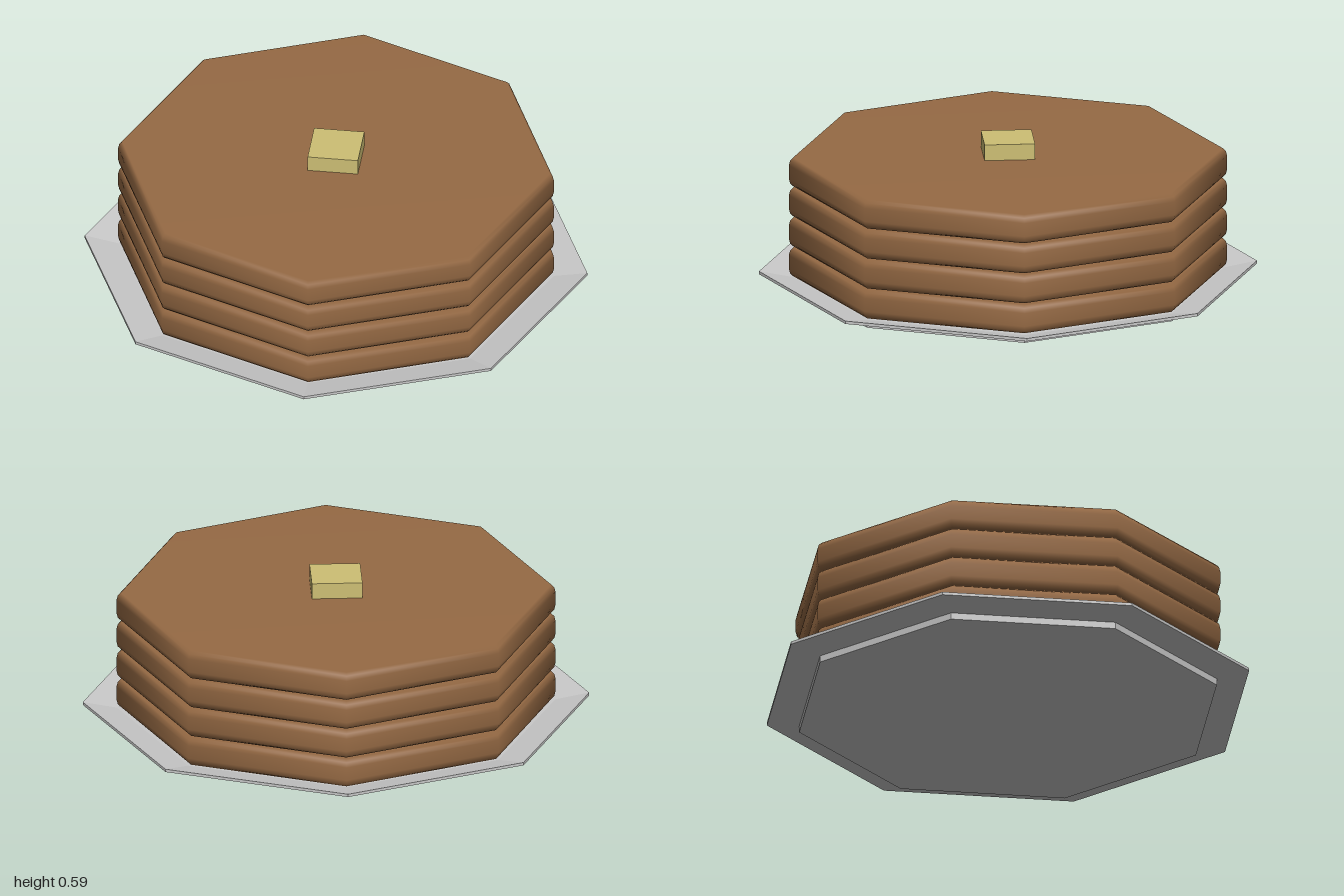
import * as THREE from 'three';

const SIDES = 8;
const DEPTH = 0.985; // plate is slightly shallower than it is wide

function material(name, color) {
  const m = new THREE.MeshStandardMaterial({ color });
  m.name = name;
  return m;
}

// Eight-sided turned solid from a profile listed bottom to top
function turned(profile) {
  return new THREE.LatheGeometry(profile.map(([r, y]) => new THREE.Vector2(r, y)), SIDES);
}

export function createModel() {
  const model = new THREE.Group();
  model.name = 'pancakeStack';
  const plateGrey = material('plateGrey', 0xc9c9c9);
  const pancakeBrown = material('pancakeBrown', 0x966a44);
  const butterYellow = material('butterYellow', 0xcdbf74);

  const add = (name, geometry, mat, y = 0) => {
    const mesh = new THREE.Mesh(geometry, mat);
    mesh.name = name;
    mesh.position.y = y;
    model.add(mesh);
    return mesh;
  };

  // Faceted plate: foot, sloping rim and flat well
  const plateShape = turned([
    [0, 0], [0.866, 0], [0.866, 0.027], [1, 0.046],
    [1, 0.058], [0.866, 0.032], [0, 0.03],
  ]).toNonIndexed();
  plateShape.scale(1, 1, DEPTH);
  plateShape.computeVertexNormals();
  add('plate', plateShape, plateGrey);

  // Four identical pancakes with softly rounded edges
  const h = 0.118;
  const pancakeShape = turned([
    [0, 0], [0.85, 0], [0.862, 0.012], [0.867, 0.032],
    [0.867, h - 0.032], [0.862, h - 0.012], [0.85, h], [0, h],
  ]);
  for (let i = 0; i < 4; i++) {
    add('pancake' + (i + 1), pancakeShape, pancakeBrown, 0.035 + i * 0.1235);
  }

  // Pat of butter on top
  add('butter', new THREE.BoxGeometry(0.2, 0.068, 0.2), butterYellow, 0.554);

  return model;
}
